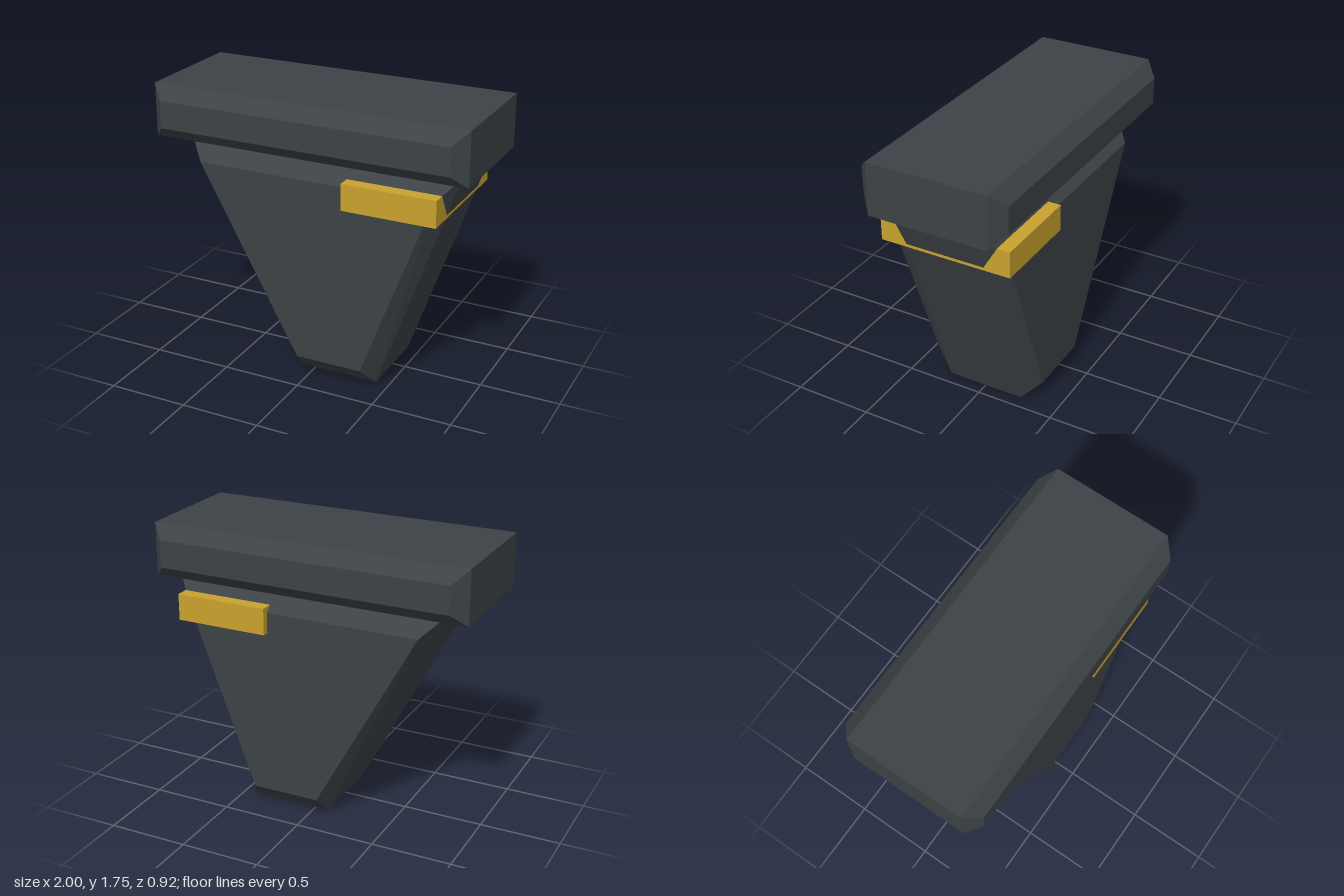
import * as THREE from 'three';
import { ConvexGeometry } from 'three/addons/geometries/ConvexGeometry.js';

// Slab with bevelled front and back: outer outline at +-zRim, smaller face at +-zFace
function bevelledSlab(rim, zRim, face, zFace) {
  const points = [];
  for (const side of [-1, 1]) {
    for (const [x, y] of rim) points.push(new THREE.Vector3(x, y, side * zRim));
    for (const [x, y] of face) points.push(new THREE.Vector3(x, y, side * zFace));
  }
  return new ConvexGeometry(points);
}

function addPart(group, name, geometry, material) {
  const mesh = new THREE.Mesh(geometry, material);
  mesh.name = name;
  group.add(mesh);
  return mesh;
}

export function createModel() {
  const group = new THREE.Group();
  group.name = 'bracket';
  const slate = new THREE.MeshStandardMaterial({ color: 0x3c4245 });
  slate.name = 'dark slate';
  const gold = new THREE.MeshStandardMaterial({ color: 0xc9a22e });
  gold.name = 'gold';

  // Wide cap across the top
  addPart(group, 'topCap', bevelledSlab(
    [[-1, 1.42], [1, 1.42], [1, 1.75], [-1, 1.75]], 0.375,
    [[-0.917, 1.5], [0.917, 1.5], [0.917, 1.67], [-0.917, 1.67]], 0.458), slate);

  // Lopsided tapering body
  addPart(group, 'taperedBody', bevelledSlab(
    [[-0.085, 0], [0.415, 0], [0.915, 1.42], [-0.835, 1.42]], 0.25,
    [[-0.067, 0.125], [0.36, 0.125], [0.797, 1.295], [-0.705, 1.295]], 0.375), slate);

  // Band passing through the upper body near its left edge
  addPart(group, 'goldBand', new THREE.BoxGeometry(0.583, 0.165, 0.834), gold)
    .position.set(0.5415, 1.2515, 0);

  return group;
}
